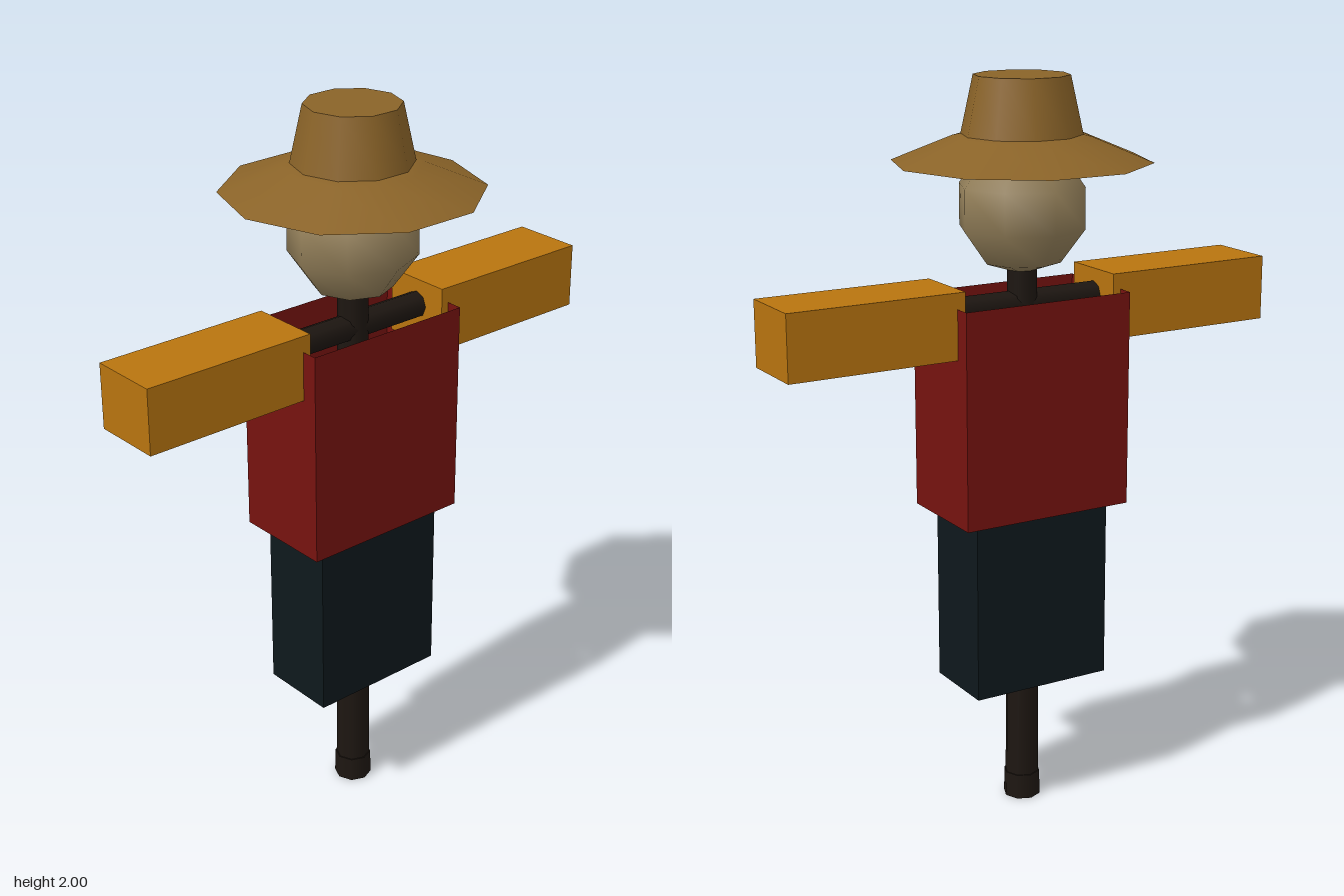
import * as THREE from 'three';

const mat = (color) => new THREE.MeshStandardMaterial({ color, side: THREE.DoubleSide });
const straw = mat(0xb8740f), shirtRed = mat(0x76130f), navy = mat(0x0e181c);
const wood = mat(0x1d1611), sack = mat(0x94805a), hatBrown = mat(0x8a6328);

// Box with some faces left out (0 +x, 1 -x, 2 +y, 3 -y, 4 +z, 5 -z)
function openBox(w, h, d, missing) {
  const geo = new THREE.BoxGeometry(w, h, d);
  const index = Array.from(geo.index.array);
  geo.setIndex(index.filter((_, i) => !missing.includes(Math.floor(i / 6))));
  geo.clearGroups();
  return geo;
}

// Surface of revolution from [radius, height] pairs
function lathe(points, sides) {
  return new THREE.LatheGeometry(points.map(([r, y]) => new THREE.Vector2(r, y)), sides);
}

export function createModel() {
  const model = new THREE.Group();
  const add = (name, geometry, material, x = 0, y = 0, z = 0, parent = model) => {
    const mesh = new THREE.Mesh(geometry, material);
    mesh.name = name;
    mesh.position.set(x, y, z);
    parent.add(mesh);
    return mesh;
  };

  // Upright pole with a slightly thicker foot
  add('pole', new THREE.CylinderGeometry(0.04, 0.047, 1.48, 8), wood, 0, 0.81);
  add('poleFoot', new THREE.CylinderGeometry(0.05, 0.052, 0.07, 8), wood, 0, 0.035);

  // Crossbar running through the sleeves
  add('crossbar', new THREE.CylinderGeometry(0.036, 0.036, 1.4, 8), wood, 0, 1.41)
    .rotation.z = Math.PI / 2;

  // Clothes are hollow, open at top and bottom
  add('trousers', openBox(0.4, 0.495, 0.22, [2, 3]), navy, 0, 0.6125);
  add('shirt', openBox(0.49, 0.58, 0.284, [2, 3]), shirtRed, 0, 1.148);

  // Arms, hollow and open underneath
  for (const [name, side] of [['leftArm', 1], ['rightArm', -1]]) {
    add(name, openBox(0.49, 0.175, 0.195, [3]), straw, side * 0.467, 1.393);
  }

  // Head
  add('head', new THREE.SphereGeometry(0.177, 8, 5), sack, 0, 1.665);

  // Ten-sided hat, hollow below
  const hat = new THREE.Group();
  hat.name = 'hat';
  hat.rotation.y = Math.PI / 10;
  model.add(hat);
  add('brim', lathe([[0.34, 1.78], [0.18, 1.845], [0.158, 1.85]], 10), hatBrown, 0, 0, 0, hat);
  add('crown', lathe([[0.158, 1.85], [0.125, 2]], 10), hatBrown, 0, 0, 0, hat);
  add('crownTop', lathe([[0.125, 2], [0, 2]], 10), hatBrown, 0, 0, 0, hat);

  return model;
}
